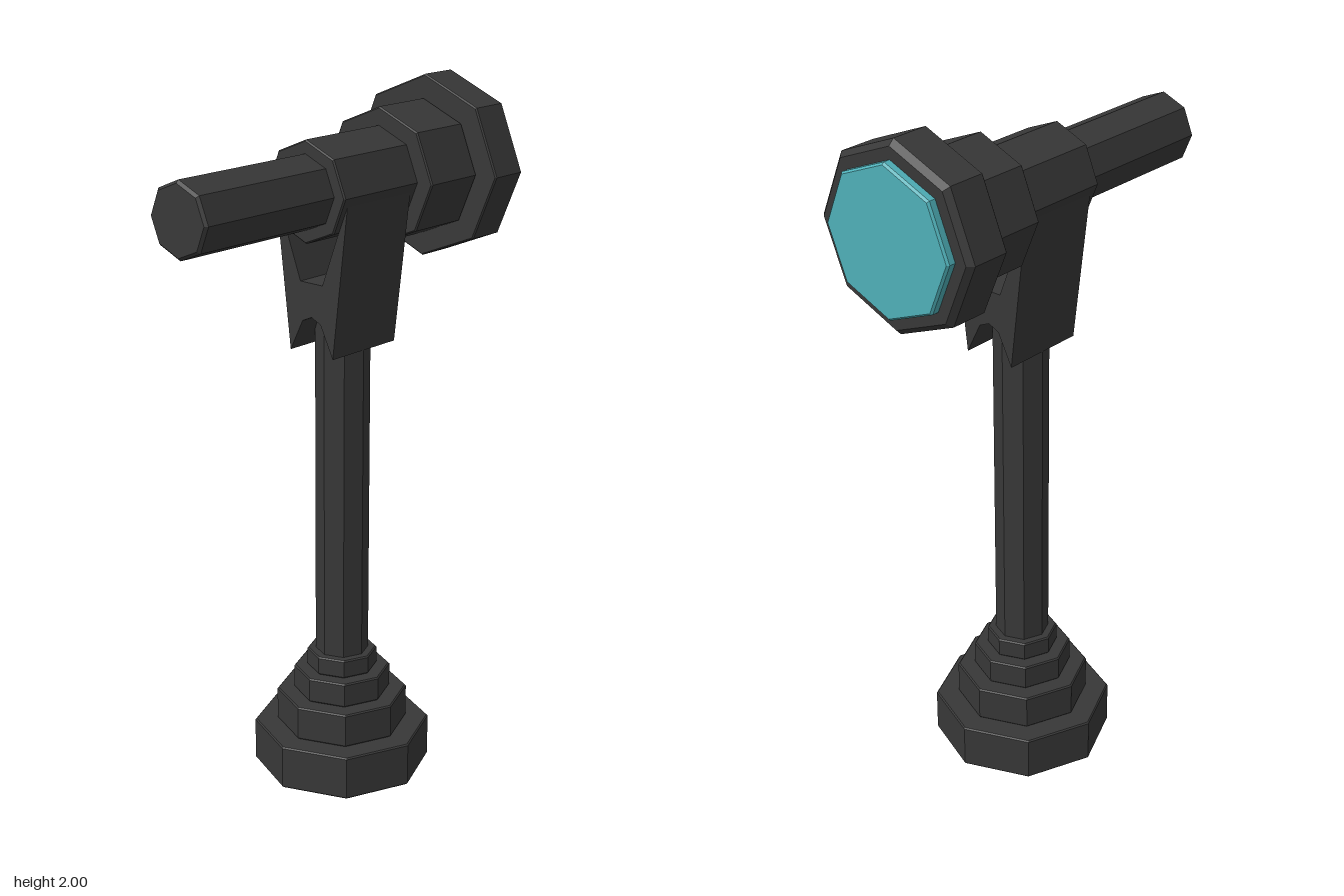
import * as THREE from 'three';

const AXIS_Z = -0.06; // post axis
const SCOPE_Y = 1.742; // scope axis

export function createModel() {
  const group = new THREE.Group();
  const dark = new THREE.MeshStandardMaterial({ color: 0x383838, flatShading: true });
  dark.name = 'charcoal metal';
  const teal = new THREE.MeshStandardMaterial({ color: 0x4fb0b8, flatShading: true });
  teal.name = 'teal glass';

  const add = (name, geometry, material) => {
    const mesh = new THREE.Mesh(geometry, material);
    mesh.name = name;
    group.add(mesh);
    return mesh;
  };

  // Eight-sided drum from y0 to y1 with small chamfers at each end
  const drum = (r, y0, y1, b0 = 0.004, b1 = b0) => new THREE.LatheGeometry([
    [0, y0], [r - b0, y0], [r, y0 + b0], [r, y1 - b1], [r - b1, y1], [0, y1],
  ].map(([x, y]) => new THREE.Vector2(x, y)), 8);

  // Stepped base and post
  [
    ['basePlate', 0.258, 0, 0.132],
    ['baseMiddleStep', 0.191, 0.132, 0.234],
    ['baseUpperStep', 0.141, 0.234, 0.308],
    ['postCollar', 0.102, 0.308, 0.364],
    ['post', 0.077, 0.36, 1.42],
  ].forEach(([name, r, y0, y1]) => {
    add(name, drum(r, y0, y1), dark).position.z = AXIS_Z;
  });

  // Scope parts, measured along -z
  [
    ['eyepieceTube', 0.103, -0.555, -0.08, 0.008, 0.004, dark],
    ['scopeBody', 0.14, -0.09, 0.21, 0.004, 0.004, dark],
    ['scopeNeck', 0.191, 0.205, 0.405, 0.004, 0.01, dark],
    ['lensHousing', 0.258, 0.4, 0.53, 0.004, 0.016, dark],
    ['lens', 0.208, 0.525, 0.555, 0.002, 0.006, teal],
  ].forEach(([name, r, d0, d1, b0, b1, material]) => {
    const geometry = drum(r, d0, d1, b0, b1).rotateX(-Math.PI / 2);
    add(name, geometry, material).position.y = SCOPE_Y;
  });

  // Yoke bracket: tapered plate with an arched foot and an opening under the scope
  const points = (list) => list.map(([x, y]) => new THREE.Vector2(x, y));
  const profile = new THREE.Shape(points([
    [0.078, 1.29], [0.131, 1.73], [-0.131, 1.73], [-0.078, 1.29],
    [-0.033, 1.38], [0, 1.395], [0.033, 1.38],
  ]));
  profile.holes.push(new THREE.Path(points([
    [0.04, 1.49], [-0.04, 1.49], [-0.116, 1.69], [0.116, 1.69],
  ])));
  const bracket = new THREE.ExtrudeGeometry(profile, { depth: 0.256, bevelEnabled: false });
  add('bracket', bracket, dark).position.z = -0.188;

  return group;
}
